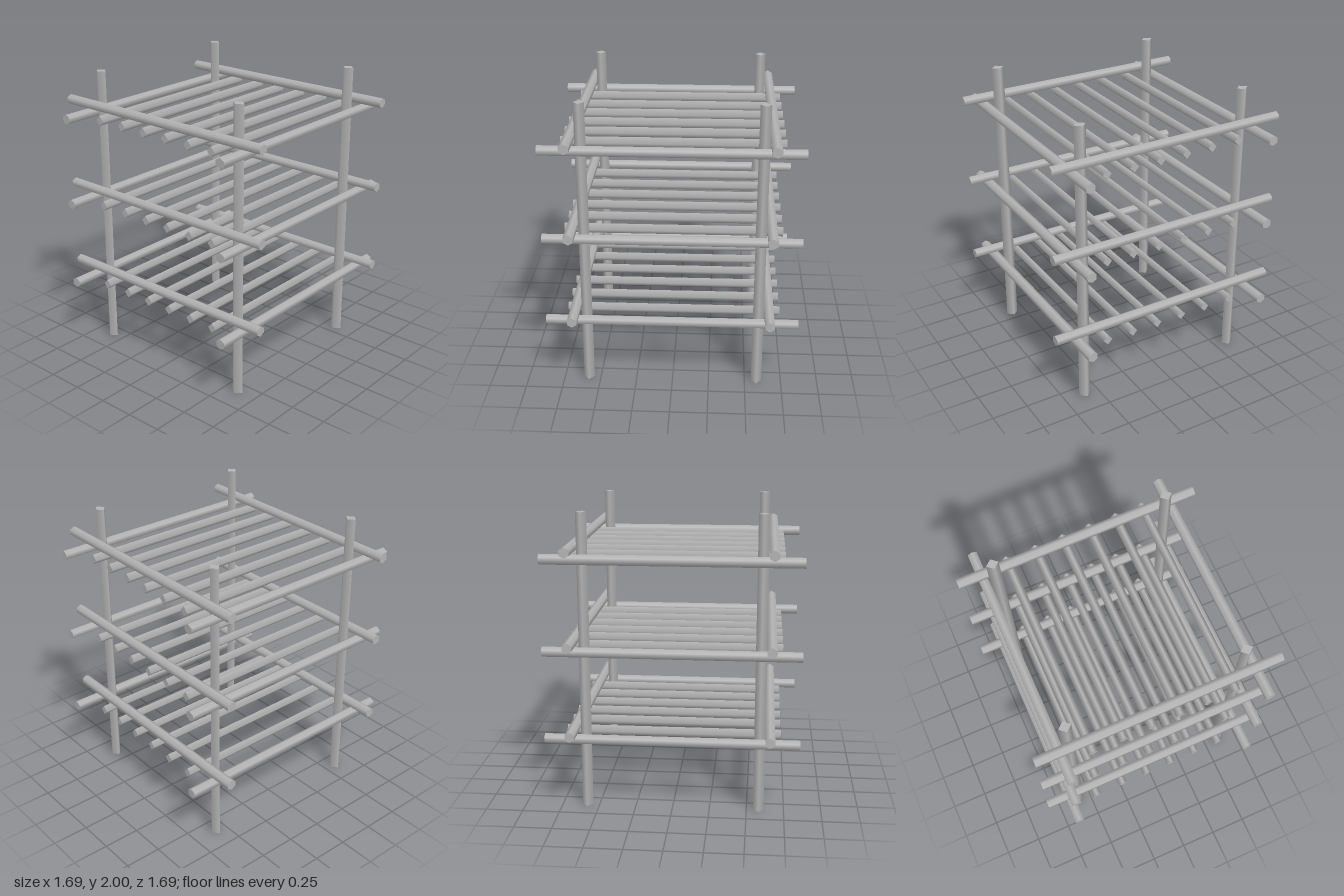
import * as THREE from 'three';

const grey = new THREE.MeshStandardMaterial({ color: 0xb3b3b3 });
grey.name = 'grey';

// Smooth-shaded pole along z, with a corner of its section pointing up
function poleAlongZ(sides, halfWidth, halfHeight, length) {
  return new THREE.CylinderGeometry(1, 1, length, sides)
    .rotateX(Math.PI / 2)
    .scale(halfWidth, halfHeight, 1);
}

export function createModel() {
  const model = new THREE.Group();
  model.name = 'shelfRack';

  const add = (parent, name, geometry, x, y, z) => {
    const mesh = new THREE.Mesh(geometry, grey);
    mesh.name = name;
    mesh.position.set(x, y, z);
    parent.add(mesh);
  };

  const postGeometry = new THREE.CylinderGeometry(1, 1, 2, 4).scale(0.042, 1, 0.036);
  const hexRail = poleAlongZ(6, 0.036, 0.0345, 1.688);
  const crossRail = hexRail.clone().rotateY(Math.PI / 2);
  const slatGeometry = poleAlongZ(4, 0.031, 0.0345, 1.446);

  // Four upright posts
  for (const x of [-0.6, 0.6]) {
    for (const z of [-0.58, 0.58]) add(model, 'post', postGeometry, x, 1, z);
  }

  // Three shelves: side rails and slats, with cross rails resting on top
  for (const y of [0.498, 1.096, 1.705]) {
    const shelf = new THREE.Group();
    shelf.name = 'shelf';
    shelf.position.y = y;
    for (const side of [-1, 1]) {
      add(shelf, 'sideRail', hexRail, side * 0.675, 0, 0);
      add(shelf, 'crossRail', crossRail, 0, 0.07, side * 0.648);
    }
    for (const x of [-0.485, -0.278, -0.083, 0.11, 0.303, 0.496]) {
      add(shelf, 'slat', slatGeometry, x, 0, -0.003);
    }
    model.add(shelf);
  }
  return model;
}
